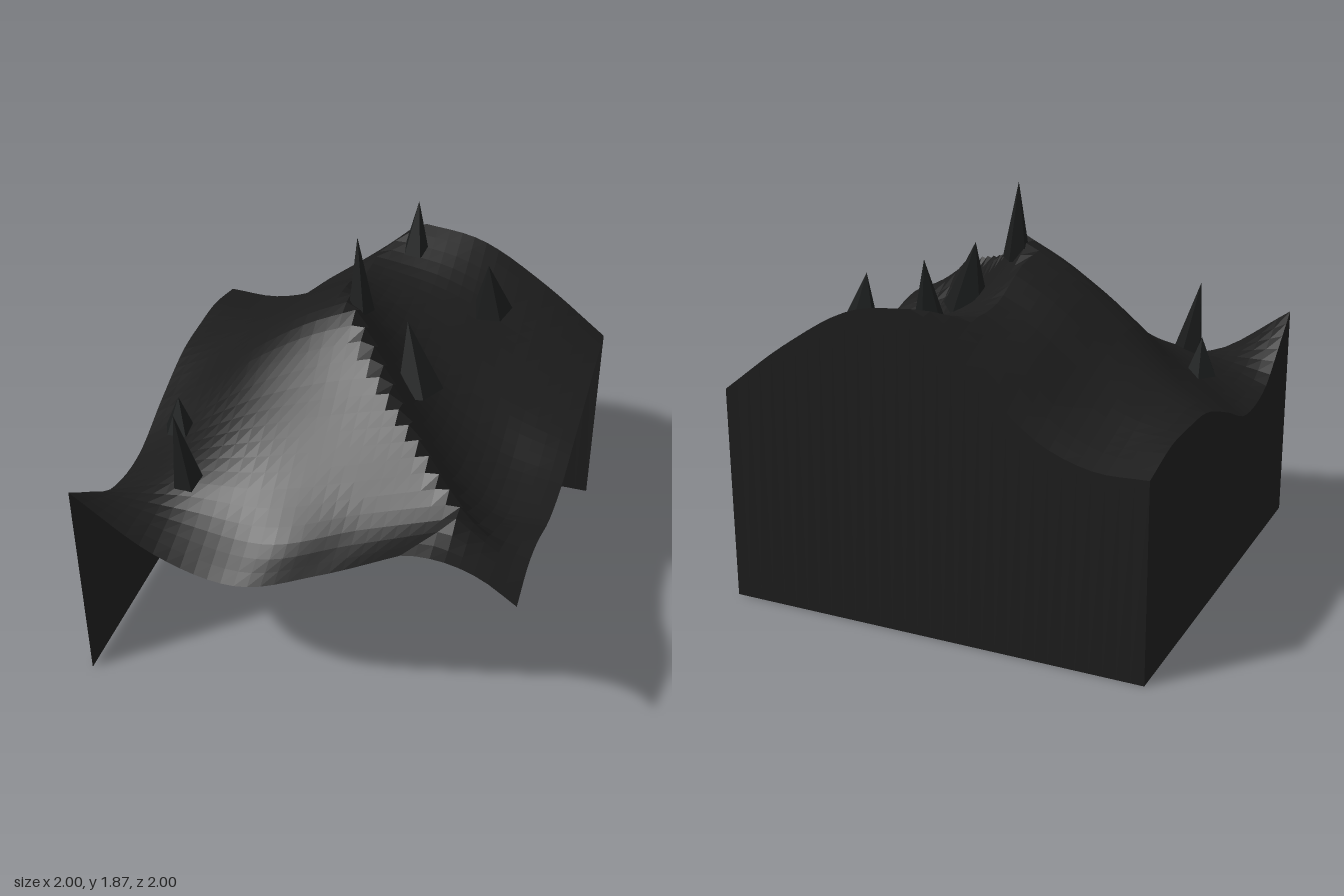
import * as THREE from 'three';

const SEG = 32;

// Terrain rows, back to front: z, ridge x, five heights from left edge to ridge,
// then three heights from ridge to right edge.
const ROWS = [
  [-1, 0.03, 0.92, 0.92, 1.02, 1.25, 1.5, 1.45, 1.26, 1.01],
  [-0.75, -0.12, 0.98, 0.98, 1.08, 1.27, 1.42, 1.35, 1.17, 0.96],
  [-0.55, -0.12, 0.985, 1.04, 1.15, 1.32, 1.43, 1.29, 1.1, 0.92],
  [-0.3, -0.12, 0.97, 1.08, 1.22, 1.4, 1.535, 1.23, 1.02, 0.875],
  [0, 0, 0.87, 1.04, 1.275, 1.46, 1.59, 1.16, 0.89, 0.82],
  [0.3, 0.27, 0.755, 0.98, 1.17, 1.31, 1.41, 1.05, 0.86, 0.85],
  [0.6, 0.53, 0.785, 0.935, 1.0, 1.13, 1.28, 1.06, 0.98, 0.965],
  [0.8, 0.69, 0.92, 0.86, 0.84, 1.03, 1.2, 1.11, 1.04, 1.0],
  [1, 0.52, 1.07, 0.81, 0.725, 0.89, 1.11, 1.11, 1.06, 0.95],
];

// Smooth curve through uneven points
function curveAt(xs, ys, x) {
  const n = xs.length;
  let i = 0;
  while (i < n - 2 && x > xs[i + 1]) i++;
  const slope = (k) => {
    const a = Math.max(k - 1, 0), b = Math.min(k + 1, n - 1);
    return (ys[b] - ys[a]) / (xs[b] - xs[a]);
  };
  const d = xs[i + 1] - xs[i];
  const t = THREE.MathUtils.clamp((x - xs[i]) / d, 0, 1);
  const t2 = t * t, t3 = t2 * t;
  return (2 * t3 - 3 * t2 + 1) * ys[i] + (t3 - 2 * t2 + t) * d * slope(i)
    + (3 * t2 - 2 * t3) * ys[i + 1] + (t3 - t2) * d * slope(i + 1);
}

// Ground height: a gentle flank and a steep flank meeting at the ridge
function heightAt(x, z) {
  const zs = ROWS.map((r) => r[0]);
  const column = (c) => curveAt(zs, ROWS.map((r) => r[c]), z);
  const ridge = column(1);
  if (x <= ridge) {
    return curveAt([0, 1, 2, 3, 4], [2, 3, 4, 5, 6].map(column), 4 * (x + 1) / (ridge + 1));
  }
  return curveAt([0, 1, 2, 3], [6, 7, 8, 9].map(column), 3 * (x - ridge) / (1 - ridge));
}

// Side wall from y = 0 up to the edge of the ground
function makeWall(name, material, place) {
  const geo = new THREE.PlaneGeometry(2, 1, SEG, 1);
  const pos = geo.attributes.position;
  for (let i = 0; i < pos.count; i++) {
    const [x, z] = place(pos.getX(i));
    pos.setXYZ(i, x, pos.getY(i) > 0 ? heightAt(x, z) : 0, z);
  }
  geo.computeVertexNormals();
  const wall = new THREE.Mesh(geo, material);
  wall.name = name;
  return wall;
}

// Five-sided spike leaning from its base towards its tip
function makeSpike(material, base, tip, radius, turn) {
  const from = new THREE.Vector3(...base);
  const axis = new THREE.Vector3(...tip).sub(from);
  const geo = new THREE.ConeGeometry(radius, axis.length(), 5);
  geo.rotateY(turn);
  geo.translate(0, axis.length() / 2, 0);
  const spike = new THREE.Mesh(geo, material);
  spike.quaternion.setFromUnitVectors(new THREE.Vector3(0, 1, 0), axis.normalize());
  spike.position.copy(from);
  spike.name = 'rockSpike';
  return spike;
}

export function createModel() {
  const group = new THREE.Group();
  group.name = 'terrainBlock';
  const ground = new THREE.MeshStandardMaterial({
    name: 'dark ground', color: 0x1c1c1c, flatShading: true, side: THREE.DoubleSide,
  });
  const rock = new THREE.MeshStandardMaterial({
    name: 'dark rock', color: 0x1a1c1c, flatShading: true,
  });

  // Ground surface
  const geo = new THREE.PlaneGeometry(2, 2, SEG, SEG);
  geo.rotateX(-Math.PI / 2);
  const pos = geo.attributes.position;
  for (let i = 0; i < pos.count; i++) pos.setY(i, heightAt(pos.getX(i), pos.getZ(i)));
  geo.computeVertexNormals();
  const surface = new THREE.Mesh(geo, ground);
  surface.name = 'groundSurface';
  group.add(surface);

  // Two closed sides; the other two sides and the bottom are open
  group.add(makeWall('backWall', ground, (u) => [-u, -1]));
  group.add(makeWall('sideWall', ground, (u) => [-1, u]));

  // Rock spikes: base, tip, radius, turn
  const spikes = [
    [[0.045, 1.41, -0.86], [0.05, 1.68, -0.89], 0.068, 0.6],
    [[0.48, 1.25, -0.7], [0.46, 1.52, -0.66], 0.1, 0.63],
    [[-0.015, 1.51, -0.125], [-0.04, 1.87, -0.155], 0.065, 0.5],
    [[0.3, 1.2, -0.015], [0.23, 1.54, -0.05], 0.115, 0.45],
    [[-0.785, 0.94, 0.27], [-0.785, 1.12, 0.26], 0.075, 0.75],
    [[-0.605, 0.91, 0.6], [-0.66, 1.28, 0.6], 0.078, 0.5],
  ];
  for (const s of spikes) group.add(makeSpike(rock, ...s));
  return group;
}
